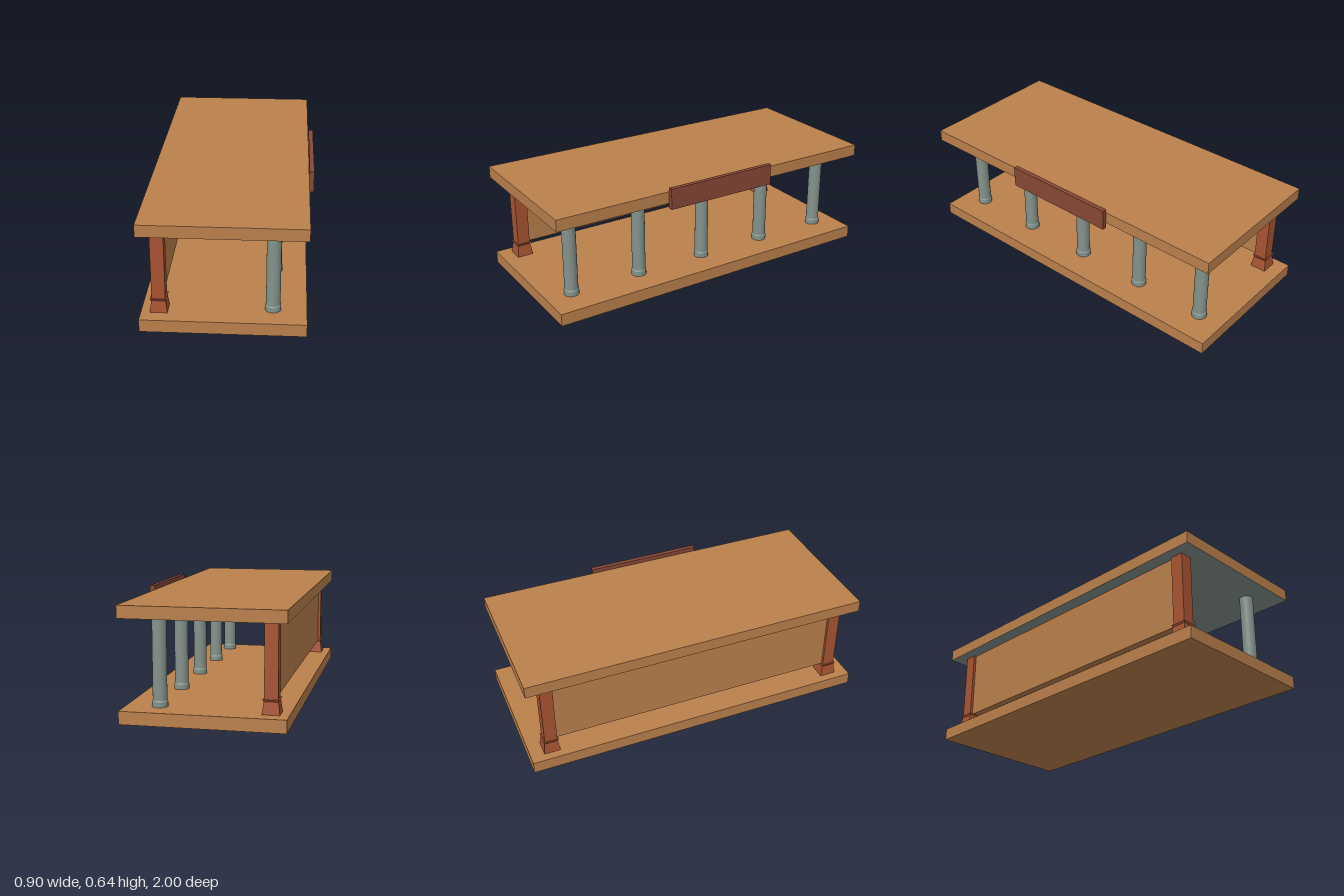
import * as THREE from 'three';

const mat = (color, flatShading = false) => new THREE.MeshStandardMaterial({ color, flatShading });

export function createModel() {
  const model = new THREE.Group();
  const wood = mat(0xba804c);
  const red = mat(0xa85432, true);
  const maroon = mat(0x874835);
  const stone = mat(0x84938c);

  const add = (parent, name, geometry, material) => {
    const mesh = new THREE.Mesh(geometry, material);
    mesh.name = name;
    parent.add(mesh);
    return mesh;
  };

  // Box given by its minimum and maximum x, y and half depth in z
  const box = (name, x0, x1, y0, y1, halfZ, material) => {
    const g = new THREE.BoxGeometry(x1 - x0, y1 - y0, halfZ * 2);
    g.translate((x0 + x1) / 2, (y0 + y1) / 2, 0);
    return add(model, name, g, material);
  };

  // Floor, and roof with a stone-coloured ceiling on its underside
  box('floor', -0.45, 0.418, 0, 0.07, 1, wood);
  box('roof', -0.45, 0.418, 0.547, 0.614, 1, [wood, wood, wood, stone, wood, wood]);

  // Raised wall between the corner posts, and the board on the roof edge
  box('wall', -0.376, -0.336, 0.147, 0.547, 0.845, wood);
  box('signBoard', 0.42, 0.446, 0.518, 0.638, 0.333, maroon);

  // Round columns with a collar at the foot
  const columnProfile = [[0, 0.07], [0.042, 0.07], [0.042, 0.098], [0.038, 0.105], [0.038, 0.547]];
  for (let i = -2; i <= 2; i++) {
    const column = new THREE.Group();
    column.name = 'column';
    column.position.set(0.24, 0, i * 0.425);
    for (let k = 1; k < columnProfile.length; k++) {
      const pts = [columnProfile[k - 1], columnProfile[k]].map(p => new THREE.Vector2(...p));
      add(column, k < 4 ? 'columnFoot' : 'columnShaft', new THREE.LatheGeometry(pts, 28), stone);
    }
    model.add(column);
  }

  // Square frustum given by its bottom and top widths
  const frustum = (bottom, top, y0, y1) => {
    const g = new THREE.CylinderGeometry(top * Math.SQRT1_2, bottom * Math.SQRT1_2, y1 - y0, 4);
    return g.rotateY(Math.PI / 4).translate(0, (y0 + y1) / 2, 0);
  };

  // Square corner posts on flared plinths with a projecting rim
  for (const side of [-1, 1]) {
    const post = new THREE.Group();
    post.name = 'cornerPost';
    post.position.set(-0.356, 0, side * 0.876);
    add(post, 'plinth', frustum(0.093, 0.076, 0.07, 0.136), red);
    add(post, 'plinthRim', frustum(0.076, 0.088, 0.136, 0.147), red);
    add(post, 'postShaft', frustum(0.072, 0.072, 0.147, 0.547), red);
    model.add(post);
  }

  return model;
}
